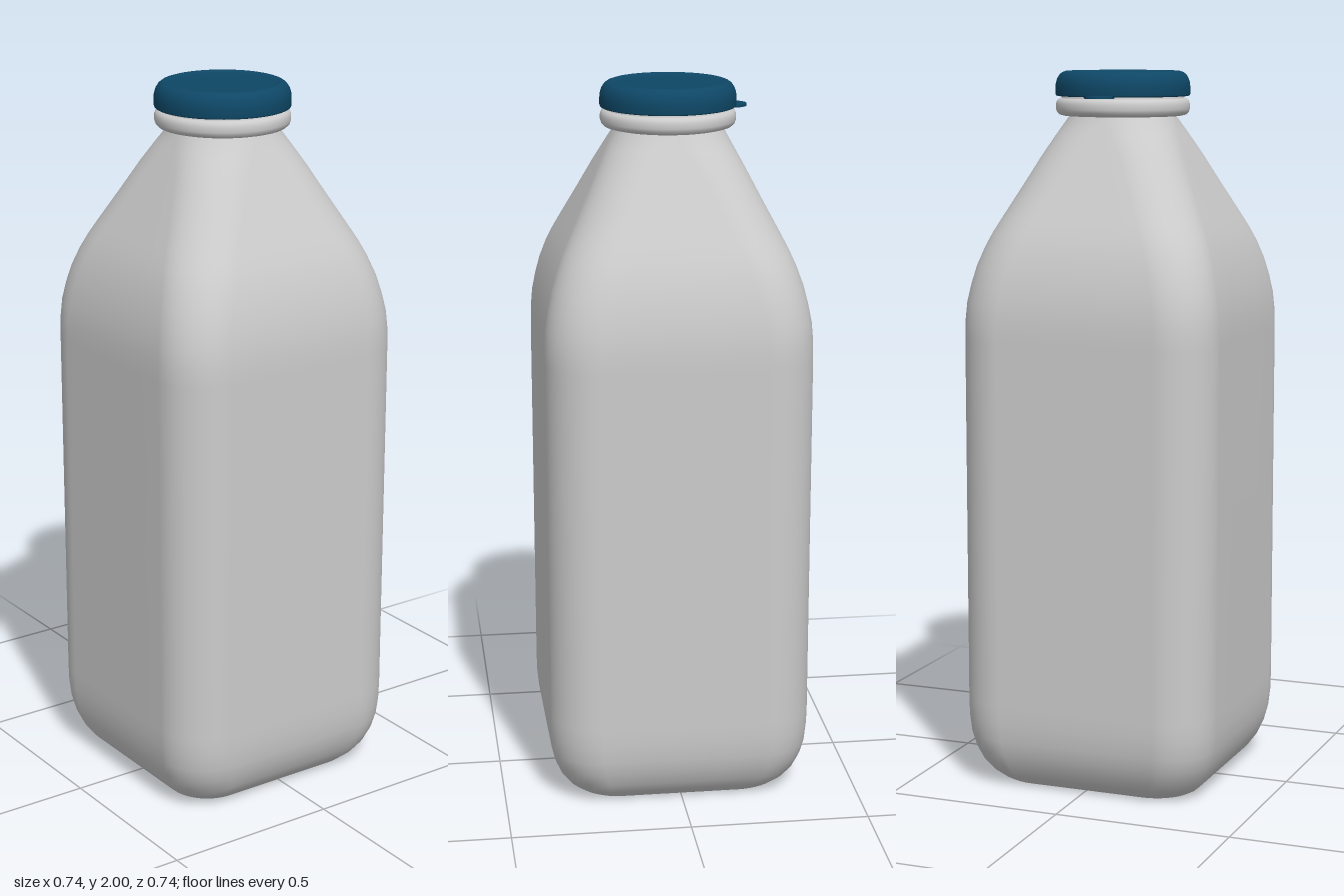
import * as THREE from 'three';

const grey = () => new THREE.MeshStandardMaterial({ color: 0xcccccc });
const blue = () => new THREE.MeshStandardMaterial({ color: 0x0e4766 });

// Outline of a square with rounded corners, as [x, z] pairs
function roundedSquare(half, radius, arc = 10, side = 4) {
  const pts = [];
  const c = half - radius;
  for (let q = 0; q < 4; q++) {
    const a0 = (q * Math.PI) / 2;
    const cos = Math.round(Math.cos(a0)), sin = Math.round(Math.sin(a0));
    const put = (x, z) => pts.push([x * cos - z * sin, x * sin + z * cos]);
    for (let i = 0; i < side; i++) put(half, -c + (2 * c * i) / side);
    for (let i = 0; i < arc; i++) {
      const a = (i / arc) * Math.PI / 2;
      put(c + radius * Math.cos(a), c + radius * Math.sin(a));
    }
  }
  return pts;
}

// Skin through sections [y, half width, corner radius]
function loft(sections) {
  const pos = [], idx = [];
  let n = 0;
  for (const [y, half, radius] of sections) {
    const ring = roundedSquare(half, radius);
    n = ring.length;
    for (const [x, z] of ring) pos.push(x, y, z);
  }
  for (let s = 0; s < sections.length - 1; s++) {
    for (let i = 0; i < n; i++) {
      const a = s * n + i, b = s * n + (i + 1) % n;
      idx.push(a, a + n, b, b, a + n, b + n);
    }
  }
  const g = new THREE.BufferGeometry();
  g.setAttribute('position', new THREE.Float32BufferAttribute(pos, 3));
  g.setIndex(idx);
  g.computeVertexNormals();
  return g;
}

function lathe(points) {
  return new THREE.LatheGeometry(points.map(([r, y]) => new THREE.Vector2(r, y)), 64);
}

export function createModel() {
  const model = new THREE.Group();
  const add = (name, geometry, material) => {
    const m = new THREE.Mesh(geometry, material);
    m.name = name;
    model.add(m);
    return m;
  };

  // Square body, curved shoulders and sloping neck
  add('bottleBody', loft([
    [0, 0.28, 0.11], [0.008, 0.293, 0.115], [0.03, 0.316, 0.12],
    [0.06, 0.337, 0.127], [0.1, 0.354, 0.133], [0.14, 0.364, 0.138],
    [0.19, 0.369, 0.14], [0.24, 0.37, 0.14], [0.75, 0.37, 0.14],
    [1.27, 0.37, 0.14], [1.32, 0.369, 0.14], [1.37, 0.365, 0.14],
    [1.42, 0.356, 0.14], [1.47, 0.344, 0.14], [1.52, 0.327, 0.14],
    [1.56, 0.31, 0.14], [1.6, 0.29, 0.139], [1.69, 0.244, 0.137],
    [1.77, 0.204, 0.135], [1.83, 0.173, 0.14], [1.875, 0.15, 0.149],
    [1.89, 0.147, 0.147],
  ]), grey());

  // Flat underside
  const base = new THREE.Shape(roundedSquare(0.28, 0.11).map(([x, z]) => new THREE.Vector2(x, z)));
  add('bottleBase', new THREE.ShapeGeometry(base).rotateX(Math.PI / 2), grey());

  // Beaded lip under the cap
  add('neckRing', lathe([
    [0.14, 1.877], [0.165, 1.877], [0.177, 1.88], [0.184, 1.887], [0.187, 1.896],
    [0.187, 1.91], [0.183, 1.92], [0.175, 1.925], [0.17, 1.926], [0.17, 1.94],
  ]), grey());

  // Domed-edge cap with a shallow recessed top
  add('cap', lathe([
    [0, 1.931], [0.18, 1.931], [0.186, 1.932], [0.188, 1.936], [0.188, 1.955],
    [0.187, 1.967], [0.183, 1.98], [0.176, 1.991], [0.168, 1.997], [0.159, 2],
    [0.154, 1.999], [0.148, 1.996], [0.144, 1.995], [0.07, 1.995], [0, 1.995],
  ]), blue());

  // Pull tab at the back of the cap
  const tab = add('pullTab', new THREE.CylinderGeometry(0.042, 0.042, 0.007, 32), blue());
  tab.position.set(0, 1.9315, -0.176);

  return model;
}
